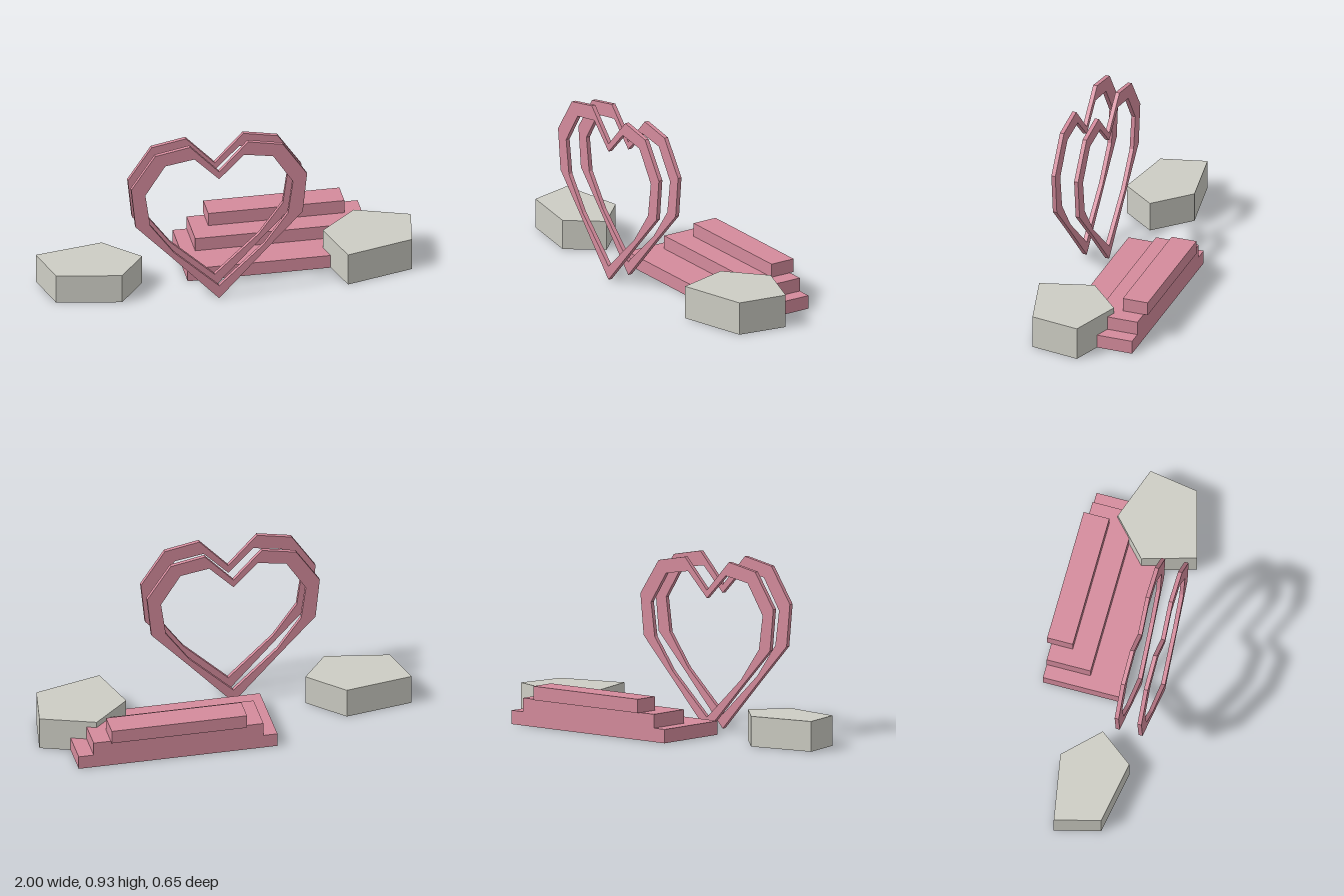
import * as THREE from 'three';

export function createModel() {
  const model = new THREE.Group();
  model.name = 'heartStage';

  const pink = new THREE.MeshStandardMaterial({ color: 0xd48b9c });
  pink.name = 'dusty pink';
  const stone = new THREE.MeshStandardMaterial({ color: 0xcdcdc4 });
  stone.name = 'warm stone grey';

  const add = (name, geometry, material) => {
    const mesh = new THREE.Mesh(geometry, material);
    mesh.name = name;
    model.add(mesh);
    return mesh;
  };

  // Three stacked display steps: x range, y range, z range
  const steps = [
    ['lowerStep', -0.22, 0.845, 0, 0.073, -0.302, 0.118],
    ['middleStep', -0.145, 0.765, 0.073, 0.146, -0.302, -0.064],
    ['upperStep', -0.052, 0.673, 0.146, 0.219, -0.325, -0.186],
  ];
  for (const [name, x0, x1, y0, y1, z0, z1] of steps) {
    const step = add(name, new THREE.BoxGeometry(x1 - x0, y1 - y0, z1 - z0), pink);
    step.position.set((x0 + x1) / 2, (y0 + y1) / 2, (z0 + z1) / 2);
  }

  // Heart outlines: right half from the bottom tip to the notch, then mirrored
  const outer = [[0, 0], [0.26, 0.28], [0.445, 0.475], [0.468, 0.7], [0.34, 0.89], [0.155, 0.925], [0, 0.76]];
  const inner = [[0, 0.075], [0.24, 0.3], [0.367, 0.475], [0.393, 0.66], [0.287, 0.825], [0.132, 0.85], [0, 0.717]];
  const mirrored = (half) => [
    ...half,
    ...half.slice(1, -1).reverse().map(([x, y]) => [-x, y]),
  ].map(([x, y]) => new THREE.Vector2(x, y));

  const heart = new THREE.Shape(mirrored(outer));
  heart.holes.push(new THREE.Path(mirrored(inner)));
  const heartGeometry = new THREE.ExtrudeGeometry(heart, { depth: 0.022, bevelEnabled: false });

  const frontHeart = add('frontHeartFrame', heartGeometry, pink);
  frontHeart.position.set(-0.092, 0, 0.303);
  const backHeart = add('backHeartFrame', heartGeometry, pink);
  backHeart.position.set(-0.092, 0, 0.178);
  backHeart.scale.set(0.988, 0.98, 1);

  // Five-sided flat stones, footprints given as x, z
  const addStone = (name, footprint, height) => {
    const shape = new THREE.Shape(footprint.map(([x, z]) => new THREE.Vector2(x, -z)));
    const geometry = new THREE.ExtrudeGeometry(shape, { depth: height, bevelEnabled: false });
    add(name, geometry.rotateX(-Math.PI / 2), stone);
  };
  addStone('rightStone', [[-1, -0.03], [-0.638, -0.093], [-0.457, 0.088], [-0.598, 0.27], [-0.938, 0.21]], 0.16);
  addStone('leftStone', [[0.516, 0.03], [0.715, -0.152], [1, -0.052], [0.957, 0.212], [0.597, 0.31]], 0.178);

  return model;
}
